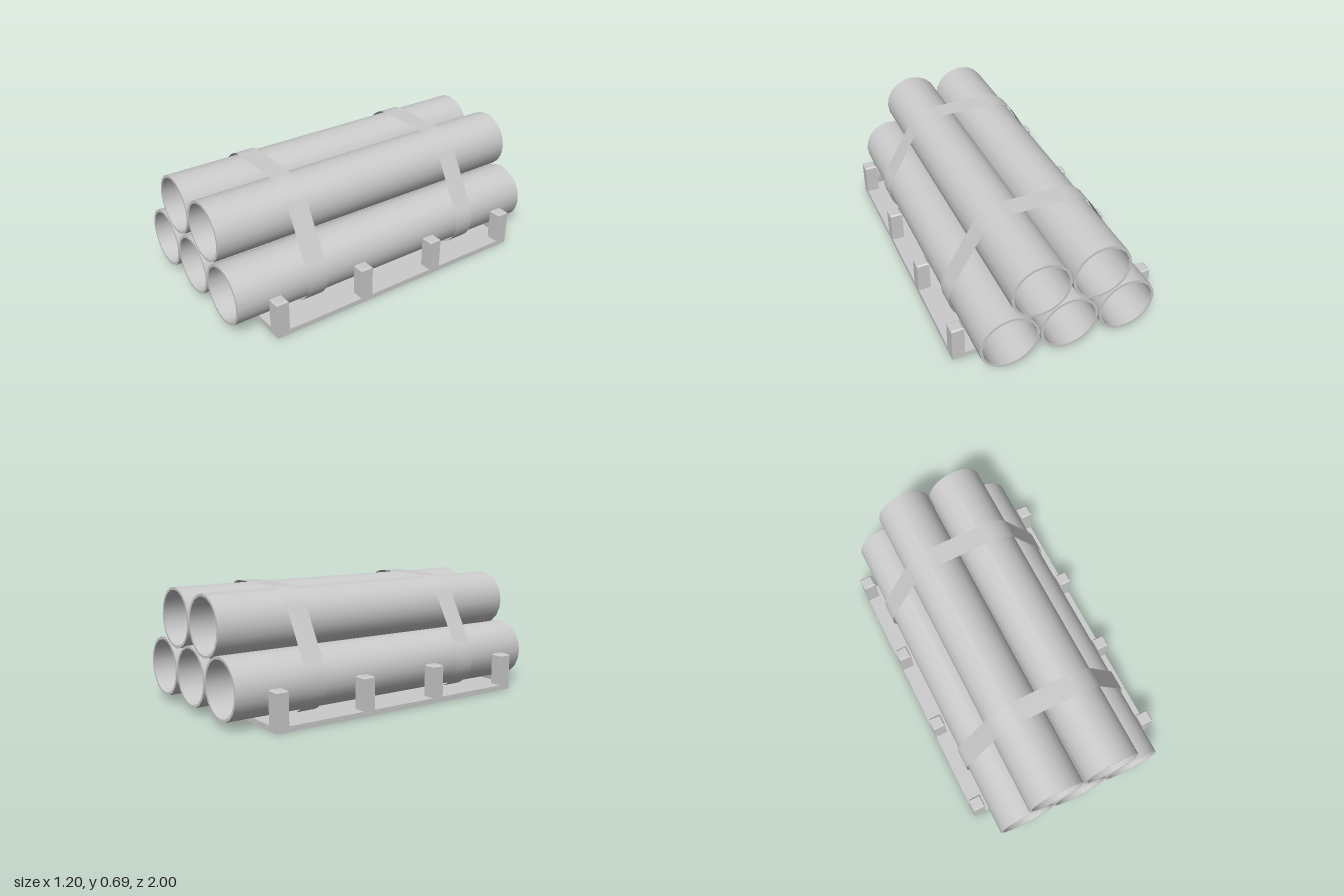
import * as THREE from 'three';
import { toCreasedNormals } from 'three/addons/utils/BufferGeometryUtils.js';

const material = new THREE.MeshStandardMaterial({ color: 0xcccccc });
const strapMaterial = new THREE.MeshStandardMaterial({ color: 0xcccccc, side: THREE.DoubleSide });

const BASE = { width: 1.2, height: 0.03, depth: 1.644 };
const PIPE = { outer: 0.17, inner: 0.155, length: 2, sides: 20 };
const LOWER_Y = 0.203, UPPER_Y = 0.503, SPACING = 0.344;

// Hollow tube lying along z
function pipeGeometry() {
  const { outer, inner, length, sides } = PIPE;
  const h = length / 2;
  const profile = [[inner, -h], [outer, -h], [outer, h], [inner, h], [inner, -h]]
    .map(([r, y]) => new THREE.Vector2(r, y));
  const geometry = new THREE.LatheGeometry(profile, sides);
  geometry.rotateX(Math.PI / 2);
  return toCreasedNormals(geometry, Math.PI / 4);
}

// Square post with a small chamfer around its top
function postGeometry() {
  const size = 0.074, top = 0.215, chamfer = 0.008;
  const geometry = new THREE.BoxGeometry(size, top, size, 1, 2, 1);
  geometry.translate(0, top / 2, 0);
  const p = geometry.attributes.position;
  for (let i = 0; i < p.count; i++) {
    const y = p.getY(i);
    if (y > top - 0.001) {
      const s = 1 - 2 * chamfer / size;
      p.setX(i, p.getX(i) * s);
      p.setZ(i, p.getZ(i) * s);
    } else if (y > 0.001) {
      p.setY(i, top - chamfer);
    }
  }
  const flat = geometry.toNonIndexed();
  flat.computeVertexNormals();
  return flat;
}

// Thin band wrapped tightly around the outer pipes, tucked into the base
function strapGeometry(width) {
  const radius = 0.182;
  const arcs = [
    [SPACING, LOWER_Y, -90, 30],
    [SPACING / 2, UPPER_Y, 30, 90],
    [-SPACING / 2, UPPER_Y, 90, 150],
    [-SPACING, LOWER_Y, 150, 270],
  ];
  const outline = [];
  for (const [cx, cy, from, to] of arcs) {
    const steps = (to - from) / 10;
    for (let i = 0; i <= steps; i++) {
      const a = THREE.MathUtils.degToRad(from + i * 10);
      const nx = Math.cos(a), ny = Math.sin(a);
      outline.push({ x: cx + radius * nx, y: cy + radius * ny, nx, ny });
    }
  }
  outline.push(outline[0]);

  const n = outline.length;
  const geometry = new THREE.PlaneGeometry(1, width, n - 1, 1);
  const { position, normal } = geometry.attributes;
  for (let i = 0; i < position.count; i++) {
    const o = outline[i % n];
    position.setXYZ(i, o.x, o.y, position.getY(i));
    normal.setXYZ(i, o.nx, o.ny, 0);
  }
  return geometry;
}

export function createModel() {
  const model = new THREE.Group();
  model.name = 'pipeStack';

  const add = (name, geometry, x, y, z, mat = material) => {
    const mesh = new THREE.Mesh(geometry, mat);
    mesh.name = name;
    mesh.position.set(x, y, z);
    model.add(mesh);
  };

  // Base plate
  add('basePlate', new THREE.BoxGeometry(BASE.width, BASE.height, BASE.depth), 0, BASE.height / 2, 0);

  // Side posts
  const post = postGeometry();
  for (const side of [-1, 1]) {
    for (const z of [-0.785, -0.245, 0.245, 0.785]) {
      add(side > 0 ? 'leftPost' : 'rightPost', post, side * 0.563, 0, z);
    }
  }

  // Three pipes below, two above
  const pipe = pipeGeometry();
  for (const i of [-1, 0, 1]) add('lowerPipe', pipe, i * SPACING, LOWER_Y, 0);
  for (const i of [-0.5, 0.5]) add('upperPipe', pipe, i * SPACING, UPPER_Y, 0);

  // Straps
  const strap = strapGeometry(0.122);
  add('frontStrap', strap, 0, 0, 0.517, strapMaterial);
  add('backStrap', strap, 0, 0, -0.531, strapMaterial);

  return model;
}
